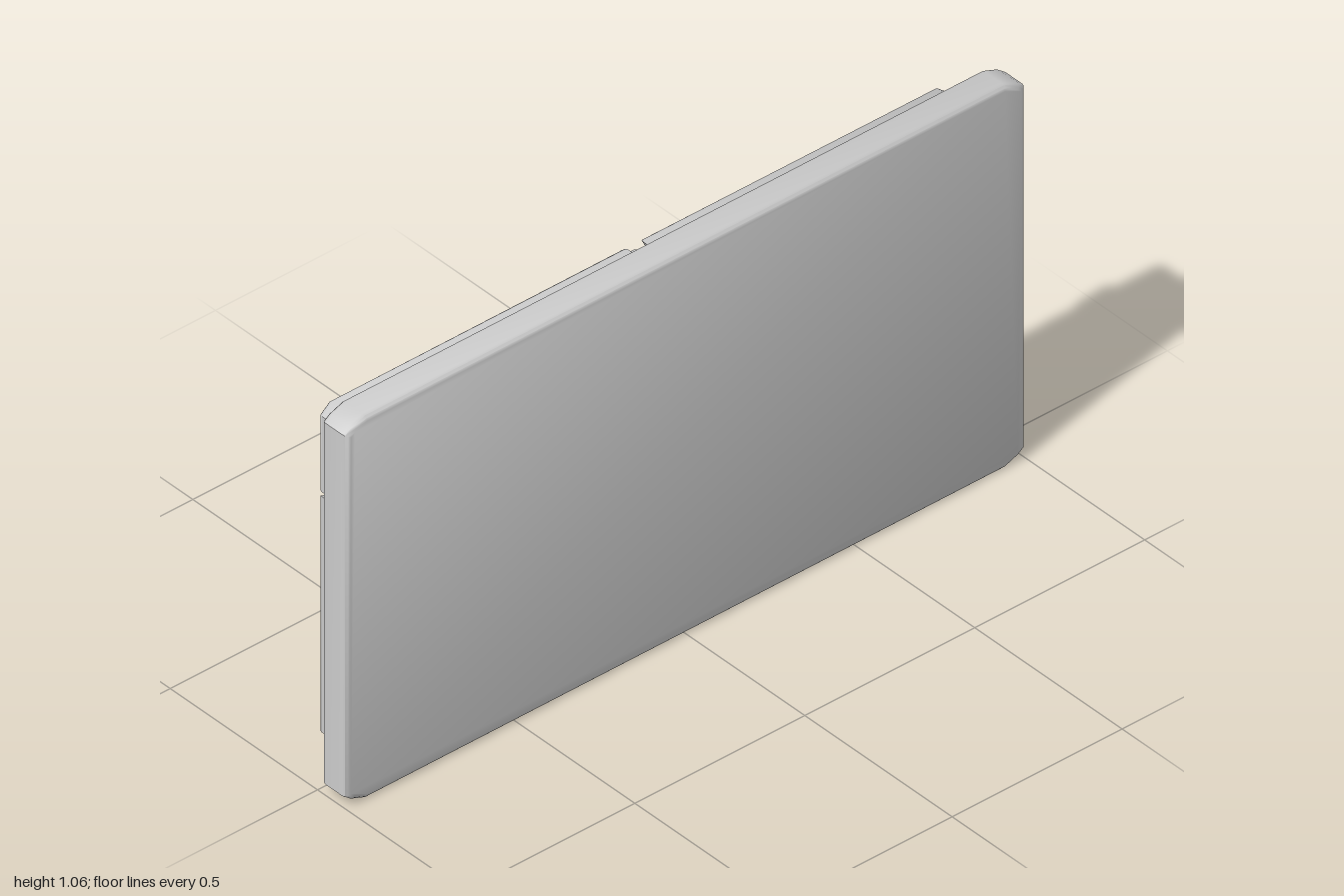
import * as THREE from 'three';
import { toCreasedNormals } from 'three/addons/utils/BufferGeometryUtils.js';

const material = new THREE.MeshStandardMaterial({ color: 0xcccccc });

// Flat plate with softened edges, filling the outline exactly from zBack to zFront
function plate(name, outline, zBack, zFront, bevelSize, bevelThickness) {
  const shape = new THREE.Shape(outline.map(([x, y]) => new THREE.Vector2(x, y)));
  const extruded = new THREE.ExtrudeGeometry(shape, {
    depth: zFront - zBack - 2 * bevelThickness,
    bevelEnabled: true,
    bevelSize,
    bevelThickness,
    bevelOffset: -bevelSize,
    bevelSegments: 3,
  });
  extruded.translate(0, 0, zBack + bevelThickness);
  const mesh = new THREE.Mesh(toCreasedNormals(extruded, 0.85), material);
  mesh.name = name;
  return mesh;
}

export function createModel() {
  const model = new THREE.Group();
  model.name = 'armourPlate';

  // Front slab with clipped corners
  const corner = [[1, 0.03], [0.982, 0.016], [0.94, 0]];
  const H = 1.06;
  const slab = [
    ...corner,
    ...corner.map(([x, y]) => [-x, y]).reverse(),
    ...corner.map(([x, y]) => [-x, H - y]),
    ...corner.map(([x, y]) => [x, H - y]).reverse(),
  ];
  model.add(plate('frontSlab', slab, 0.013, 0.098, 0.014, 0.014));

  // Backing panels, mirrored about a line slightly off centre
  const backing = new THREE.Group();
  backing.name = 'backing';
  backing.position.x = -0.01;
  model.add(backing);

  backing.add(plate('centreTriangle',
    [[-0.487, 0.065], [0.487, 0.065], [0.014, 0.965], [-0.014, 0.965]], -0.086, 0.03, 0.01, 0.01));

  const upper = [[0.022, 0.99], [0.892, 0.99], [0.922, 0.965], [0.922, 0.755], [0.253, 0.55]];
  const lower = [[0.26, 0.537], [0.922, 0.743], [0.922, 0.09], [0.892, 0.065], [0.508, 0.065]];
  const boltGeometry = new THREE.CylinderGeometry(0.045, 0.045, 0.04, 6).toNonIndexed();
  boltGeometry.computeVertexNormals();
  boltGeometry.rotateX(-Math.PI / 2);

  for (const side of [1, -1]) {
    const label = side > 0 ? 'left' : 'right';
    const mirror = (points) => points.map(([x, y]) => [side * x, y]);
    backing.add(plate(label + 'UpperPanel', mirror(upper), -0.076, 0.03, 0.012, 0.012));
    backing.add(plate(label + 'LowerPanel', mirror(lower), -0.076, 0.03, 0.012, 0.012));

    // Hexagonal bolt heads
    for (const [level, y] of [['Upper', 0.905], ['Lower', 0.168]]) {
      const bolt = new THREE.Mesh(boltGeometry, material);
      bolt.name = label + level + 'Bolt';
      bolt.position.set(side * 0.778, y, -0.078);
      backing.add(bolt);
    }
  }
  return model;
}
